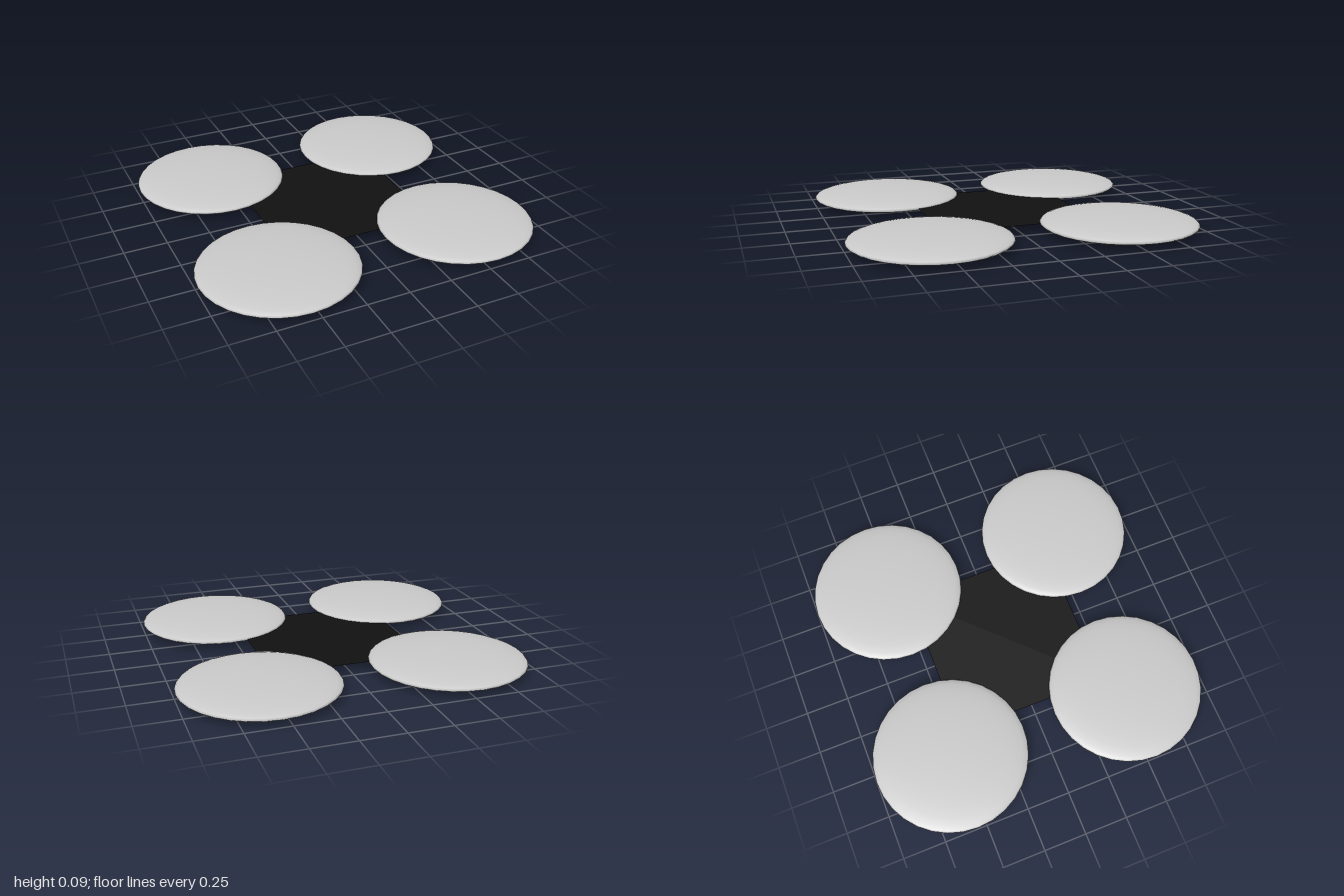
import * as THREE from 'three';

export function createModel() {
  const group = new THREE.Group();
  const grey = new THREE.MeshStandardMaterial({ color: 0xcccccc });
  const black = new THREE.MeshStandardMaterial({ color: 0x111111, side: THREE.DoubleSide });
  const red = new THREE.MeshStandardMaterial({ color: 0xff1133 });
  const midY = 0.045, offset = 0.55, radius = 0.45;

  function add(name, geometry, material, x, y, z) {
    const mesh = new THREE.Mesh(geometry, material);
    mesh.name = name;
    mesh.position.set(x, y, z);
    group.add(mesh);
  }

  // Thin square sheet joining the four discs
  const sheet = new THREE.PlaneGeometry(0.9, 0.9).rotateX(-Math.PI / 2);
  add('centreSheet', sheet, black, 0, midY, 0);

  // Flattened round discs, one at each corner
  const disc = new THREE.SphereGeometry(radius, 32, 16).scale(1, midY / radius, 1);

  // Each red band lies under the sheet and stops at the sheet's edges
  const bandRadius = 0.485;
  const halfArc = Math.acos((offset - 0.45) / bandRadius) - Math.PI / 4;

  for (const [sx, sideName] of [[1, 'Left'], [-1, 'Right']]) {
    for (const [sz, endName] of [[1, 'front'], [-1, 'back']]) {
      add(`${endName}${sideName}Disc`, disc, grey, sx * offset, midY, sz * offset);

      const inward = Math.atan2(-sz, -sx);
      const band = new THREE.RingGeometry(0.42, bandRadius, 24, 1, inward - halfArc, halfArc * 2);
      band.rotateX(Math.PI / 2);
      add(`${endName}${sideName}RedBand`, band, red, sx * offset, midY - 0.003, sz * offset);
    }
  }
  return group;
}
